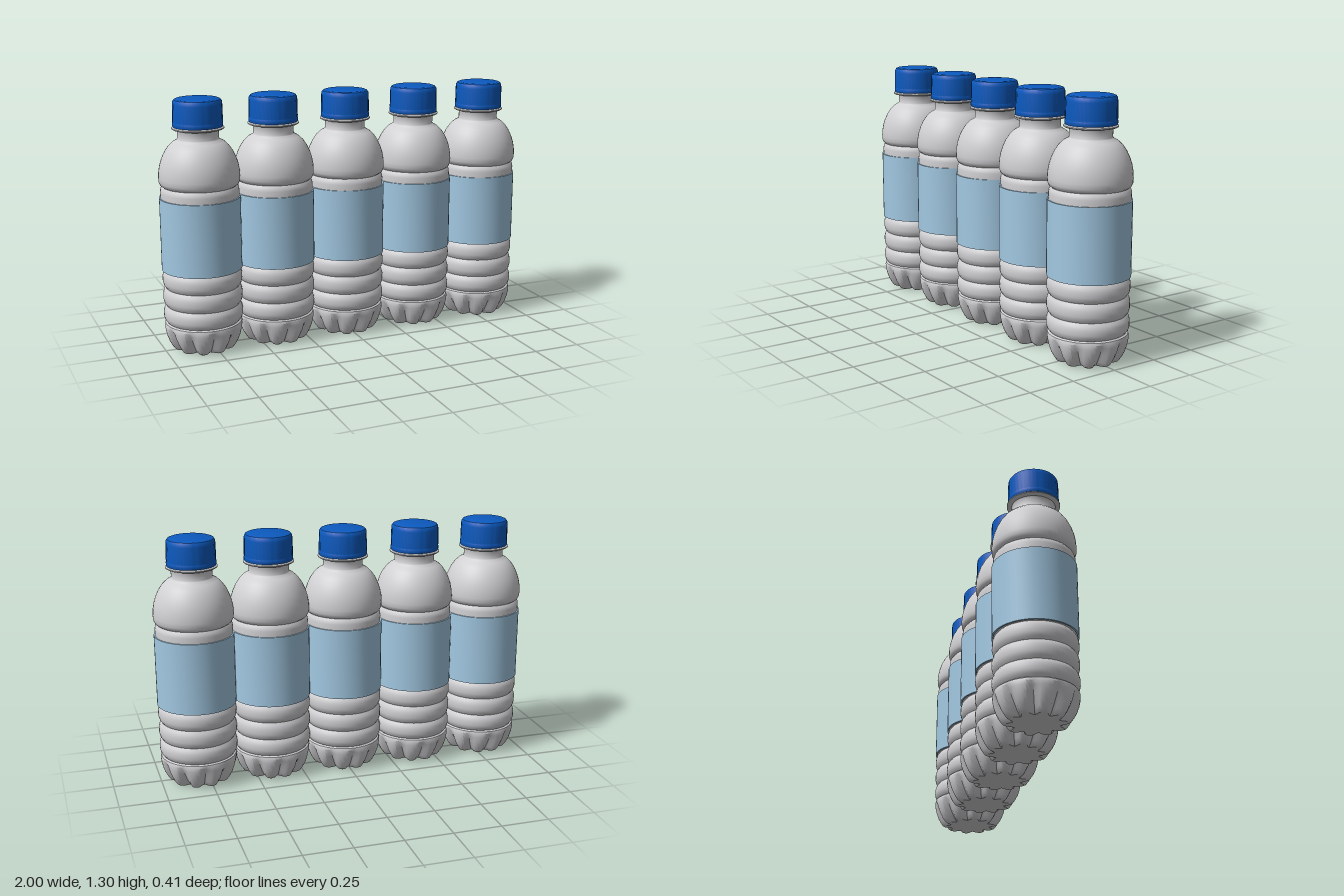
import * as THREE from 'three';
import { toCreasedNormals } from 'three/addons/utils/BufferGeometryUtils.js';

const plastic = new THREE.MeshStandardMaterial({ name: 'clear grey plastic', color: 0xd0d0d3 });
const paper = new THREE.MeshStandardMaterial({ name: 'pale blue label', color: 0xa2c8e2 });
const blue = new THREE.MeshStandardMaterial({ name: 'blue cap', color: 0x0c5abf });

// Turn a [radius, height] profile; an optional rule scales each vertex's radius
function turn(profile, segments, rule) {
  const geo = new THREE.LatheGeometry(profile.map(([r, y]) => new THREE.Vector2(r, y)), segments);
  if (rule) {
    const p = geo.attributes.position;
    for (let i = 0; i < p.count; i++) {
      const k = rule(Math.atan2(p.getX(i), p.getZ(i)), p.getY(i), Math.hypot(p.getX(i), p.getZ(i)));
      p.setX(i, p.getX(i) * k);
      p.setZ(i, p.getZ(i) * k);
    }
  }
  return toCreasedNormals(geo, 0.6);
}

// One rounded ring between two grooves
function rib(y0, y1) {
  const h = y1 - y0;
  return [[0.188, y0], [0.198, y0 + 0.15 * h], [0.203, y0 + 0.35 * h],
    [0.203, y0 + 0.65 * h], [0.198, y0 + 0.85 * h], [0.188, y1]];
}

// Petal base: ten flutes that widen and deepen towards the floor
const baseProfile = [[0, 0.004], [0.1, 0.004], [0.145, 0.004], [0.157, 0.01], [0.171, 0.03],
  [0.184, 0.055], [0.194, 0.085], [0.2, 0.115], [0.201, 0.135], [0.197, 0.147], [0.188, 0.153]];
function flute(angle, y, r) {
  if (r < 0.12) return 1;
  const t = THREE.MathUtils.clamp((0.14 - y) / 0.13, 0, 1);
  const groove = (1 + Math.cos(10 * angle)) / 2;
  return 1 - 0.25 * Math.pow(t, 0.8) * Math.pow(groove, 3 - 1.5 * t);
}

const bodyProfile = [
  ...rib(0.153, 0.242), ...rib(0.242, 0.337).slice(1), ...rib(0.337, 0.43).slice(1),
  [0.198, 0.44], [0.198, 0.8], [0.199, 0.835], [0.196, 0.852], [0.187, 0.864],
  [0.197, 0.872], [0.204, 0.888], [0.205, 0.91], [0.203, 0.94], [0.197, 0.972], [0.187, 1.003],
  [0.172, 1.035], [0.153, 1.063], [0.13, 1.085], [0.107, 1.098],
  [0.104, 1.103], [0.104, 1.14], [0.108, 1.149],
];
const labelProfile = [[0.197, 0.431], [0.205, 0.431], [0.205, 0.805], [0.197, 0.805]];
const collarProfile = [[0.1, 1.148], [0.125, 1.149], [0.131, 1.153], [0.131, 1.158], [0.125, 1.162], [0.1, 1.163]];
const capProfile = [[0.1, 1.163], [0.124, 1.163], [0.126, 1.168], [0.126, 1.182], [0.1245, 1.186],
  [0.1255, 1.19], [0.124, 1.275], [0.122, 1.289], [0.116, 1.298], [0.106, 1.302], [0, 1.303]];
const knurl = (angle, y) =>
  (y > 1.187 && y < 1.28 ? 1 - 0.006 * (1 + Math.cos(40 * angle)) : 1);

const parts = [
  ['petalBase', turn(baseProfile, 80, flute), plastic],
  ['bottleBody', turn(bodyProfile, 48), plastic],
  ['label', turn(labelProfile, 48), paper],
  ['neckCollar', turn(collarProfile, 48), plastic],
  ['cap', turn(capProfile, 80, knurl), blue],
];

export function createModel() {
  const group = new THREE.Group();
  group.name = 'bottleRow';
  // Five bottles side by side
  for (let i = -2; i <= 2; i++) {
    const bottle = new THREE.Group();
    bottle.name = 'bottle';
    for (const [name, geometry, material] of parts) {
      const mesh = new THREE.Mesh(geometry, material);
      mesh.name = name;
      bottle.add(mesh);
    }
    bottle.position.set(i * 0.397, -0.004, 0);
    group.add(bottle);
  }
  return group;
}
